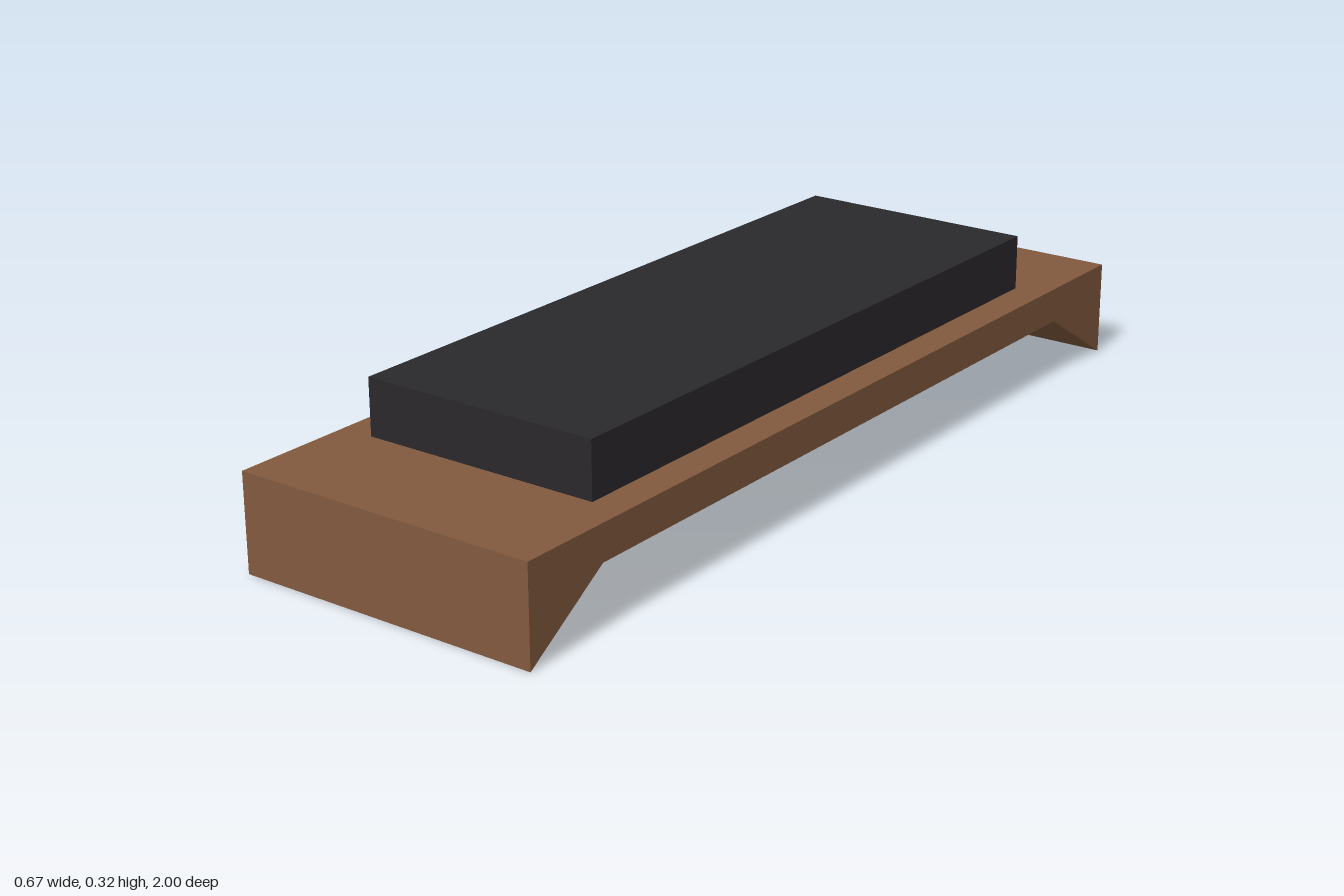
import * as THREE from 'three';

const WIDTH = 0.674;

function part(name, geometry, color) {
  const mesh = new THREE.Mesh(geometry, new THREE.MeshStandardMaterial({ color, flatShading: true }));
  mesh.name = name;
  return mesh;
}

// Flat deck with a wedge-shaped foot at each end, as one side profile (z, y)
function baseGeometry() {
  const profile = new THREE.Shape([
    [1, 0], [1, 0.205], [-1, 0.205], [-1, 0], [-0.785, 0.13], [0.8, 0.13],
  ].map(([z, y]) => new THREE.Vector2(z, y)));
  const geometry = new THREE.ExtrudeGeometry(profile, { depth: WIDTH, bevelEnabled: false });
  geometry.translate(0, 0, -WIDTH / 2).rotateY(-Math.PI / 2);

  // The back foot is a little thicker on the right side
  const p = geometry.attributes.position;
  for (let i = 0; i < p.count; i++) {
    if (p.getX(i) < 0 && Math.abs(p.getZ(i) + 0.785) < 0.01) {
      p.setY(i, 0.126);
      p.setZ(i, -0.752);
    }
  }
  geometry.computeVertexNormals();
  return geometry;
}

export function createModel() {
  const model = new THREE.Group();
  model.name = 'lowBench';
  model.add(part('base', baseGeometry(), 0x825a3e));

  // Dark cushion resting on the deck
  const cushion = part('cushion', new THREE.BoxGeometry(0.53, 0.119, 1.476), 0x2a282b);
  cushion.position.y = 0.205 + 0.119 / 2;
  model.add(cushion);
  return model;
}
